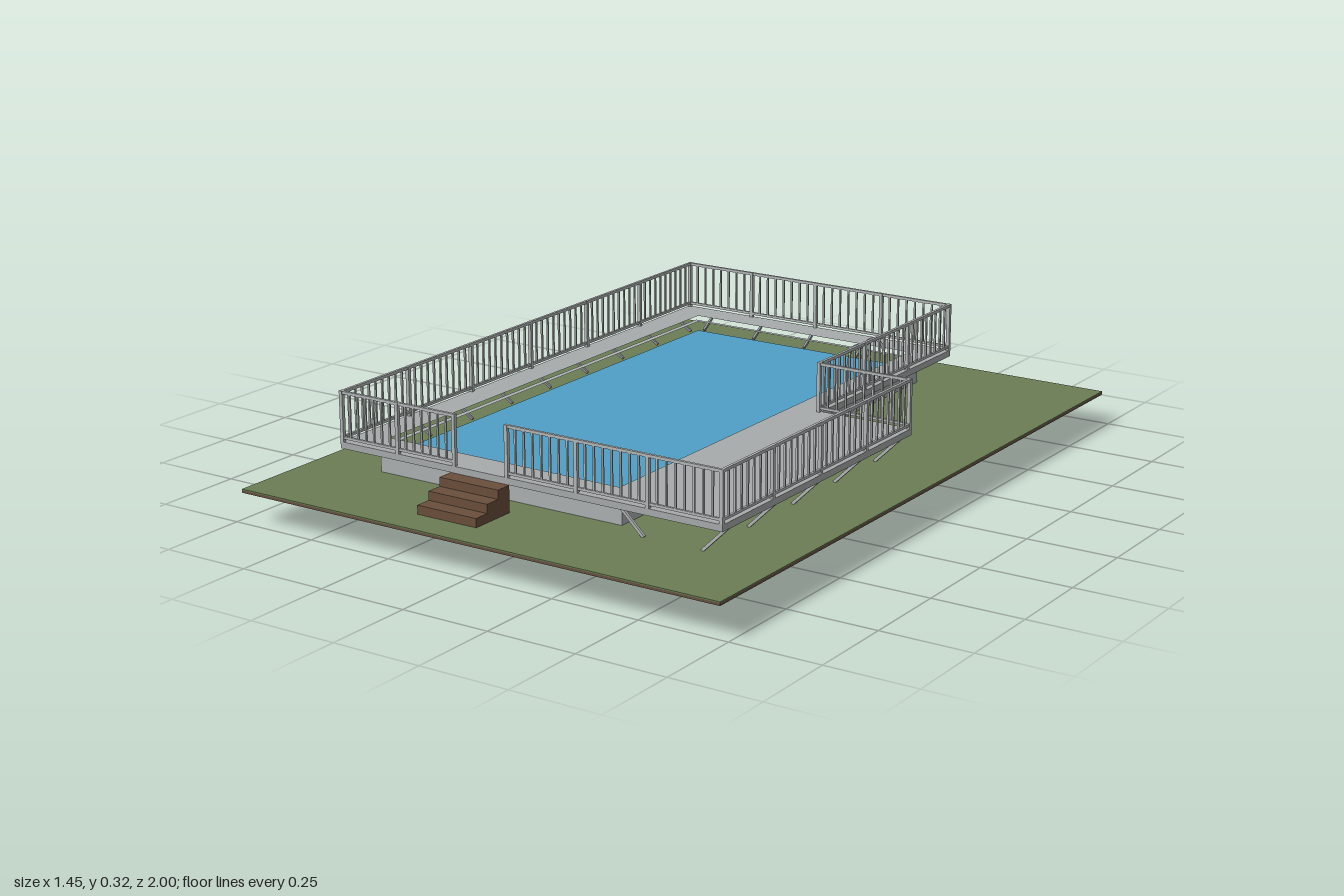
import * as THREE from 'three';

const mat = (name, color, side = THREE.FrontSide) => {
  const m = new THREE.MeshStandardMaterial({ color, side });
  m.name = name;
  return m;
};

export function createModel() {
  const grass = mat('grass', 0x6b7d55);
  const dirt = mat('dirt', 0x665140);
  const concrete = mat('deckGrey', 0xa8acad);
  const wallGrey = mat('wallGrey', 0xadb2b2);
  const railGrey = mat('railGrey', 0xb4b7b8);
  const steel = mat('steel', 0x8e9294);
  const wood = mat('wood', 0x6b4f3c);
  const waterBlue = mat('waterBlue', 0x4fa0c6, THREE.DoubleSide);
  const floorBlue = mat('floorBlue', 0x2d68a3, THREE.DoubleSide);

  const model = new THREE.Group();
  model.name = 'raisedPool';

  const GROUND = 0.093, DECK_LOW = 0.165, DECK = 0.183, RAIL = 0.32;
  const pool = { x0: -0.503, x1: 0.222, z0: -0.775, z1: 0.675 };
  const rect = (x0, x1, z0, z1) => [[x0, z0], [x1, z0], [x1, z1], [x0, z1]];
  const poolOutline = rect(pool.x0, pool.x1, pool.z0, pool.z1);
  const deckOutline = [[-0.59, -0.86], [0.31, -0.86], [0.31, -0.14], [0.585, -0.14], [0.585, 0.77], [-0.59, 0.77]];

  const add = (parent, name, geo, material) => {
    const mesh = new THREE.Mesh(geo, material);
    mesh.name = name;
    parent.add(mesh);
    return mesh;
  };
  const group = (name) => {
    const g = new THREE.Group();
    g.name = name;
    model.add(g);
    return g;
  };
  const box = (parent, name, w, h, d, x, y, z, material) => {
    const mesh = add(parent, name, new THREE.BoxGeometry(w, h, d), material);
    mesh.position.set(x, y, z);
    return mesh;
  };
  // Horizontal slab from a floor plan, with the pool cut out
  const slab = (name, outline, y0, y1, material) => {
    const pts = (list) => list.map(([x, z]) => new THREE.Vector2(x, -z));
    const shape = new THREE.Shape(pts(outline));
    shape.holes.push(new THREE.Path(pts(poolOutline)));
    const geo = new THREE.ExtrudeGeometry(shape, { depth: y1 - y0, bevelEnabled: false });
    geo.rotateX(-Math.PI / 2);
    add(model, name, geo, material).position.y = y0;
  };
  // Square bar between two points
  const bar = (parent, name, a, b, t, material) => {
    const p = new THREE.Vector3(...a), q = new THREE.Vector3(...b);
    const mesh = add(parent, name, new THREE.BoxGeometry(t, t, p.distanceTo(q)), material);
    mesh.position.copy(p).add(q).multiplyScalar(0.5);
    mesh.lookAt(q);
  };

  // Ground, pool walls and deck
  const lawn = rect(-0.727, 0.727, -1, 1);
  slab('soil', lawn, 0.083, 0.09, dirt);
  slab('lawn', lawn, 0.09, GROUND, grass);
  slab('poolWall', rect(-0.52, 0.242, -0.79, 0.695), GROUND, DECK_LOW, wallGrey);
  slab('deck', deckOutline, DECK_LOW, DECK, concrete);

  // Water surface and pool floor
  const sheet = (name, y, material) => {
    const geo = new THREE.PlaneGeometry(pool.x1 - pool.x0, pool.z1 - pool.z0).rotateX(-Math.PI / 2);
    add(model, name, geo, material).position.set((pool.x0 + pool.x1) / 2, y, (pool.z0 + pool.z1) / 2);
  };
  sheet('water', 0.138, waterBlue);
  sheet('poolFloor', 0, floorBlue);

  // Railing runs around the deck, open at the steps
  const railing = group('railing');
  const run = (ax, az, bx, bz) => {
    const length = Math.hypot(bx - ax, bz - az);
    const bays = Math.ceil(length / 0.28);
    const slats = Math.round(length / bays / 0.028);
    bar(railing, 'topRail', [ax, RAIL - 0.004, az], [bx, RAIL - 0.004, bz], 0.008, railGrey);
    bar(railing, 'bottomRail', [ax, 0.194, az], [bx, 0.194, bz], 0.007, railGrey);
    for (let i = 0; i <= bays * slats; i++) {
      const t = i / (bays * slats);
      const x = ax + (bx - ax) * t, z = az + (bz - az) * t;
      if (i % slats === 0) {
        box(railing, 'post', 0.01, RAIL - DECK, 0.01, x, (RAIL + DECK) / 2, z, railGrey);
      } else {
        box(railing, 'slat', 0.005, RAIL - 0.198, 0.005, x, (RAIL + 0.194) / 2, z, railGrey);
      }
    }
  };
  const e = 0.005;
  const L = -0.59 + e, B = -0.86 + e, N = 0.31 - e, S = -0.14 + e, R = 0.585 - e, F = 0.77 - e;
  run(L, B, N, B);
  run(N, B, N, S);
  run(N, S, R, S);
  run(R, S, R, F);
  run(R, F, -0.055, F);
  run(-0.22, F, L, F);
  run(L, F, L, B);

  // Short slanted braces between wall and deck
  const braces = group('braces');
  for (let i = 0; i < 5; i++) {
    const x = -0.49 + i * 0.176;
    bar(braces, 'frontBrace', [x, 0.137, 0.692], [x, DECK_LOW, 0.735], 0.007, steel);
    bar(braces, 'backBrace', [x, 0.137, -0.787], [x, DECK_LOW, -0.83], 0.007, steel);
  }
  for (let i = 0; i < 9; i++) {
    const z = -0.757 + i * 0.178;
    bar(braces, 'rightBrace', [-0.517, 0.137, z], [-0.56, DECK_LOW, z], 0.007, steel);
    if (i < 4) bar(braces, 'leftBrace', [0.24, 0.137, z], [0.28, DECK_LOW, z], 0.007, steel);
  }

  // Slanted legs under the wide side of the deck
  const legs = group('deckLegs');
  for (let i = 0; i < 5; i++) {
    const z = 0.735 - i * 0.206;
    bar(legs, 'innerLeg', [0.26, DECK_LOW, z], [0.335, GROUND, z], 0.008, railGrey);
    bar(legs, 'outerLeg', [0.578, DECK_LOW, z], [0.505, GROUND, z], 0.008, railGrey);
  }

  // Wooden steps
  const steps = group('steps');
  for (let i = 0; i < 3; i++) {
    const h = 0.024 * (3 - i);
    box(steps, 'step', 0.184, h, 0.046, -0.138, GROUND + h / 2, 0.793 + i * 0.045, wood);
  }

  // Pool ladder: two hooped rails with rungs
  const ladder = group('ladder');
  for (const z of [-0.535, -0.455]) {
    const path = new THREE.CatmullRomCurve3([
      [0.278, DECK], [0.277, 0.235], [0.265, 0.272], [0.243, 0.283], [0.22, 0.27],
      [0.208, 0.23], [0.207, 0.15], [0.207, 0.05], [0.21, 0.03], [0.218, 0.02],
    ].map(([x, y]) => new THREE.Vector3(x, y, z)));
    add(ladder, 'ladderRail', new THREE.TubeGeometry(path, 40, 0.004, 8), steel);
  }
  for (const y of [0.068, 0.115]) {
    box(ladder, 'rung', 0.014, 0.005, 0.08, 0.207, y, -0.495, steel);
  }

  return model;
}
